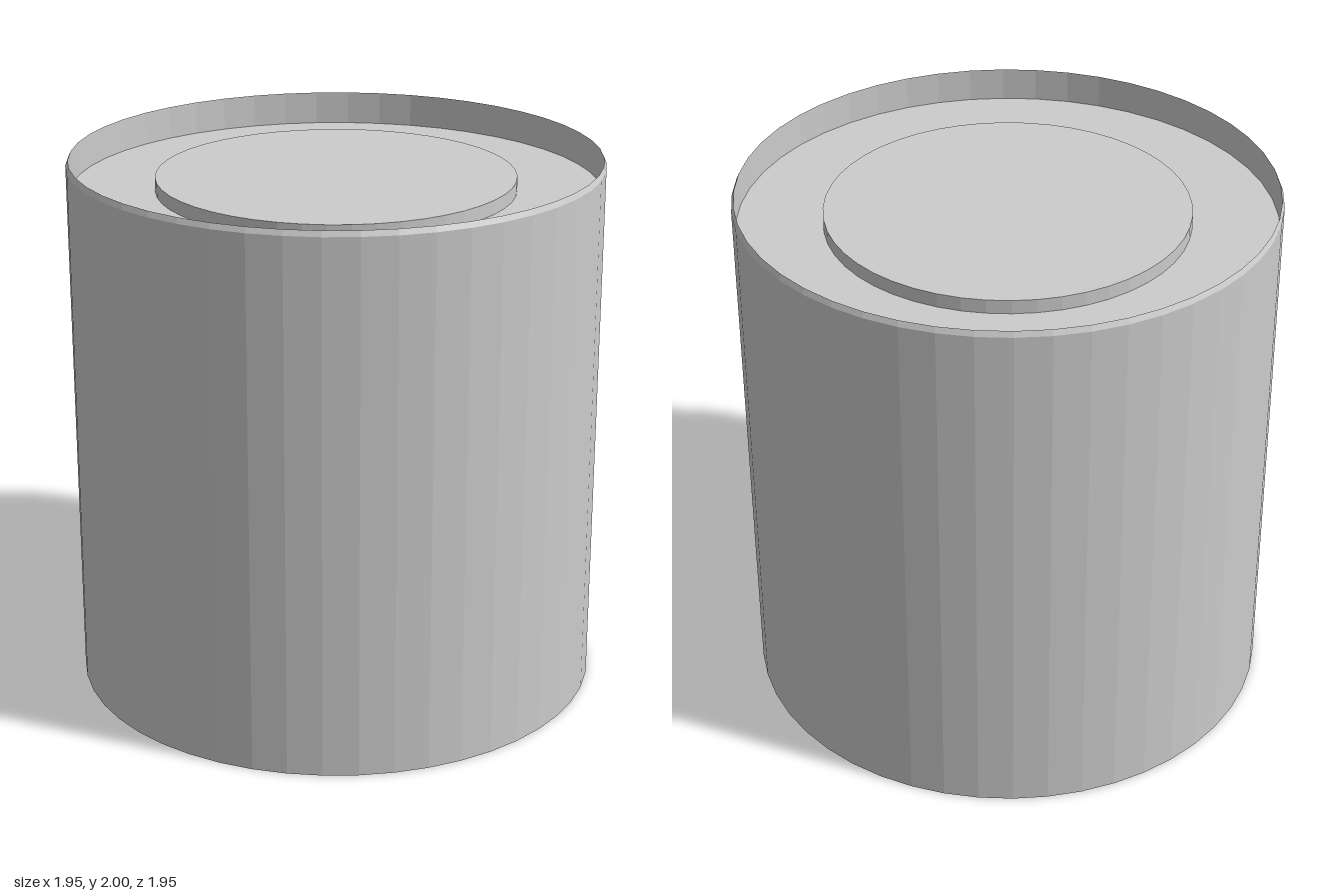
import * as THREE from 'three';

const SIDES = 48;
const R = 0.975;       // outer wall
const RIM = 0.966;     // inner wall at the top lip
const FOOT = 0.972;    // inner wall at the bottom lip
const DISC = 0.656;    // raised end disc

export function createModel() {
  const group = new THREE.Group();
  const material = new THREE.MeshStandardMaterial({ color: 0xcccccc, flatShading: true });

  const addLathe = (name, profile) => {
    const points = profile.map(([r, y]) => new THREE.Vector2(r, y));
    const mesh = new THREE.Mesh(new THREE.LatheGeometry(points, SIDES), material);
    mesh.name = name;
    group.add(mesh);
  };

  // thin wall with a chamfered top lip, returning down inside both ends
  addLathe('canWall', [[FOOT, 0.128], [FOOT, 0], [R, 0], [R, 1.98], [RIM, 2], [RIM, 1.877]]);

  // recessed lid with a raised central disc
  addLathe('topLid', [[RIM, 1.877], [DISC, 1.877], [DISC, 1.928], [0, 1.928]]);

  // recessed base with a central disc standing downward
  addLathe('bottomLid', [[0, 0.053], [DISC, 0.053], [DISC, 0.128], [FOOT, 0.128]]);

  return group;
}
